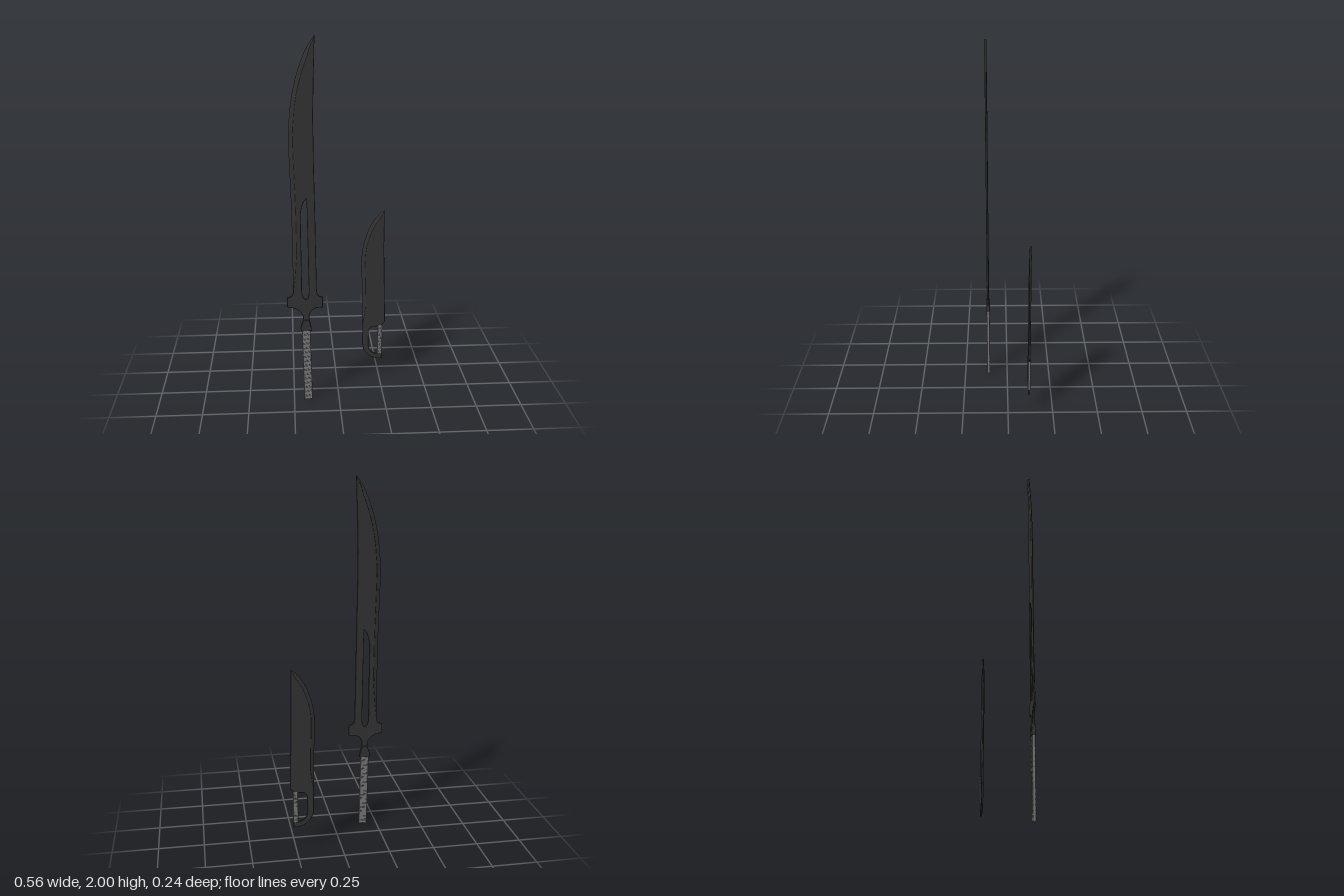
import * as THREE from 'three';

const steel = new THREE.MeshStandardMaterial({ color: 0x333333 });
steel.name = 'darkSteel';
const wrap = new THREE.MeshStandardMaterial({ color: 0x787878 });
wrap.name = 'greyWrap';

const vectors = (pts) => pts.map(([x, y]) => new THREE.Vector2(x, y));

function add(parent, name, geometry, material) {
  const mesh = new THREE.Mesh(geometry, material);
  mesh.name = name;
  parent.add(mesh);
  return mesh;
}

// Flat plate centred on z = 0, with optional cut-out
function plate(outline, depth, hole) {
  const shape = new THREE.Shape(outline);
  if (hole) shape.holes.push(new THREE.Path(hole));
  const bevel = 0.0015;
  return new THREE.ExtrudeGeometry(shape, {
    depth: depth - 2 * bevel, bevelEnabled: true, bevelSegments: 1,
    bevelThickness: bevel, bevelSize: bevel, bevelOffset: -bevel,
  }).translate(0, 0, bevel - depth / 2);
}

// Cutting edge from heel to tip, with the ground line set in from it
function cuttingEdge(pts, width) {
  const curve = new THREE.SplineCurve(vectors(pts));
  const n = 32, edge = [], inner = [];
  for (let i = 0; i <= n; i++) {
    const t = i / n, p = curve.getPoint(t), d = curve.getTangent(t);
    const w = width * Math.min(1, t * 16, (1 - t) * 5);
    edge.push(p);
    inner.push(new THREE.Vector2(p.x + d.y * w, p.y - d.x * w));
  }
  return { edge, inner };
}

// Two sloping faces meeting in the sharp edge
function grind({ edge, inner }, depth) {
  const pos = [], h = depth / 2;
  for (let i = 0; i < edge.length - 1; i++) {
    for (const s of [1, -1]) {
      const a = [edge[i].x, edge[i].y, 0], b = [inner[i].x, inner[i].y, s * h];
      const c = [inner[i + 1].x, inner[i + 1].y, s * h], d = [edge[i + 1].x, edge[i + 1].y, 0];
      const tris = s > 0 ? [a, b, c, a, c, d] : [a, c, b, a, d, c];
      tris.forEach((v) => pos.push(...v));
    }
  }
  const g = new THREE.BufferGeometry();
  g.setAttribute('position', new THREE.Float32BufferAttribute(pos, 3));
  g.computeVertexNormals();
  return g;
}

function blade(parent, back, edgePts, hole, depth, width) {
  const cut = cuttingEdge(edgePts, width);
  add(parent, 'bladeBody', plate([...vectors(back), ...cut.inner.slice(0, -1)], depth, vectors(hole)), steel);
  add(parent, 'cuttingEdge', grind(cut, depth), steel);
}

// Grip core with overlapping slanted wrap bands, from bottom to top
function grip(parent, bottom, top, width, depth, count) {
  const group = new THREE.Group();
  group.name = 'grip';
  const a = new THREE.Vector2(...bottom), b = new THREE.Vector2(...top);
  const len = a.distanceTo(b), step = len / count;
  group.position.set((a.x + b.x) / 2, (a.y + b.y) / 2, 0);
  group.rotation.z = Math.atan2(a.x - b.x, b.y - a.y);
  const x = width / 2, y = len / 2, c = depth * 0.2;
  add(group, 'gripCore', plate(vectors([
    [-x + c, -y], [x - c, -y], [x, -y + c], [x, y], [-x, y], [-x, -y + c],
  ]), depth * 0.86, null), wrap);
  for (let i = 0; i < count; i++) {
    const yy = -y + (i + 0.5) * step, h = step * 0.4, s = step * 0.1;
    add(group, 'wrapBand', plate(vectors([
      [-x, yy - h - s], [x, yy - h + s], [x, yy + h + s], [-x, yy + h - s],
    ]), depth, null), wrap);
  }
  parent.add(group);
}

function longSword() {
  const g = new THREE.Group();
  g.name = 'longSword';
  // Spine, guard and neck in one plate with a long slot
  blade(g, [
    [-0.122, 2.0], [-0.128, 1.8], [-0.133, 1.6], [-0.131, 1.35], [-0.127, 1.13], [-0.121, 0.66],
    [-0.118, 0.635], [-0.106, 0.619], [-0.088, 0.616], [-0.088, 0.556], [-0.125, 0.553],
    [-0.149, 0.54], [-0.161, 0.52], [-0.163, 0.49], [-0.156, 0.46], [-0.152, 0.435],
    [-0.209, 0.435], [-0.204, 0.46], [-0.195, 0.485], [-0.197, 0.51], [-0.212, 0.535],
    [-0.24, 0.552], [-0.281, 0.562], [-0.281, 0.616], [-0.258, 0.622], [-0.248, 0.64],
  ], [
    [-0.247, 0.66], [-0.25, 1.1], [-0.26, 1.46], [-0.255, 1.58], [-0.242, 1.69],
    [-0.22, 1.79], [-0.19, 1.88], [-0.161, 1.945], [-0.122, 2.0],
  ], [
    [-0.17, 1.172], [-0.186, 1.15], [-0.197, 1.12], [-0.202, 1.08], [-0.2, 0.64], [-0.194, 0.614],
    [-0.18, 0.602], [-0.168, 0.612], [-0.163, 0.64],
  ], 0.011, 0.02);
  // Thicker collar where neck meets grip
  add(g, 'collar', plate(vectors([
    [-0.15, 0.42], [-0.151, 0.436], [-0.157, 0.46], [-0.165, 0.485],
    [-0.193, 0.485], [-0.203, 0.46], [-0.21, 0.436], [-0.209, 0.42],
  ]), 0.02), steel);
  grip(g, [-0.171, 0.001], [-0.18, 0.425], 0.046, 0.017, 16);
  g.position.z = 0.111;
  return g;
}

function shortBlade() {
  const g = new THREE.Group();
  g.name = 'shortBlade';
  // Blade and curved hand guard in one plate
  blade(g, [
    [0.265, 1.027], [0.267, 0.8], [0.272, 0.6], [0.279, 0.36], [0.272, 0.35], [0.262, 0.343],
    [0.262, 0.126], [0.238, 0.126], [0.217, 0.13], [0.193, 0.142], [0.17, 0.163],
    [0.154, 0.19], [0.149, 0.22], [0.149, 0.33],
  ], [
    [0.148, 0.35], [0.144, 0.58], [0.14, 0.73], [0.147, 0.81], [0.162, 0.87],
    [0.185, 0.93], [0.215, 0.98], [0.24, 1.008], [0.265, 1.027],
  ], [
    [0.24, 0.33], [0.202, 0.328], [0.19, 0.318], [0.185, 0.3], [0.184, 0.21], [0.189, 0.187],
    [0.202, 0.17], [0.22, 0.159], [0.24, 0.155],
  ], 0.0105, 0.018);
  grip(g, [0.249, 0.155], [0.25, 0.338], 0.027, 0.014, 9);
  g.position.z = -0.116;
  return g;
}

export function createModel() {
  const model = new THREE.Group();
  model.name = 'bladePair';
  model.add(longSword(), shortBlade());
  return model;
}
